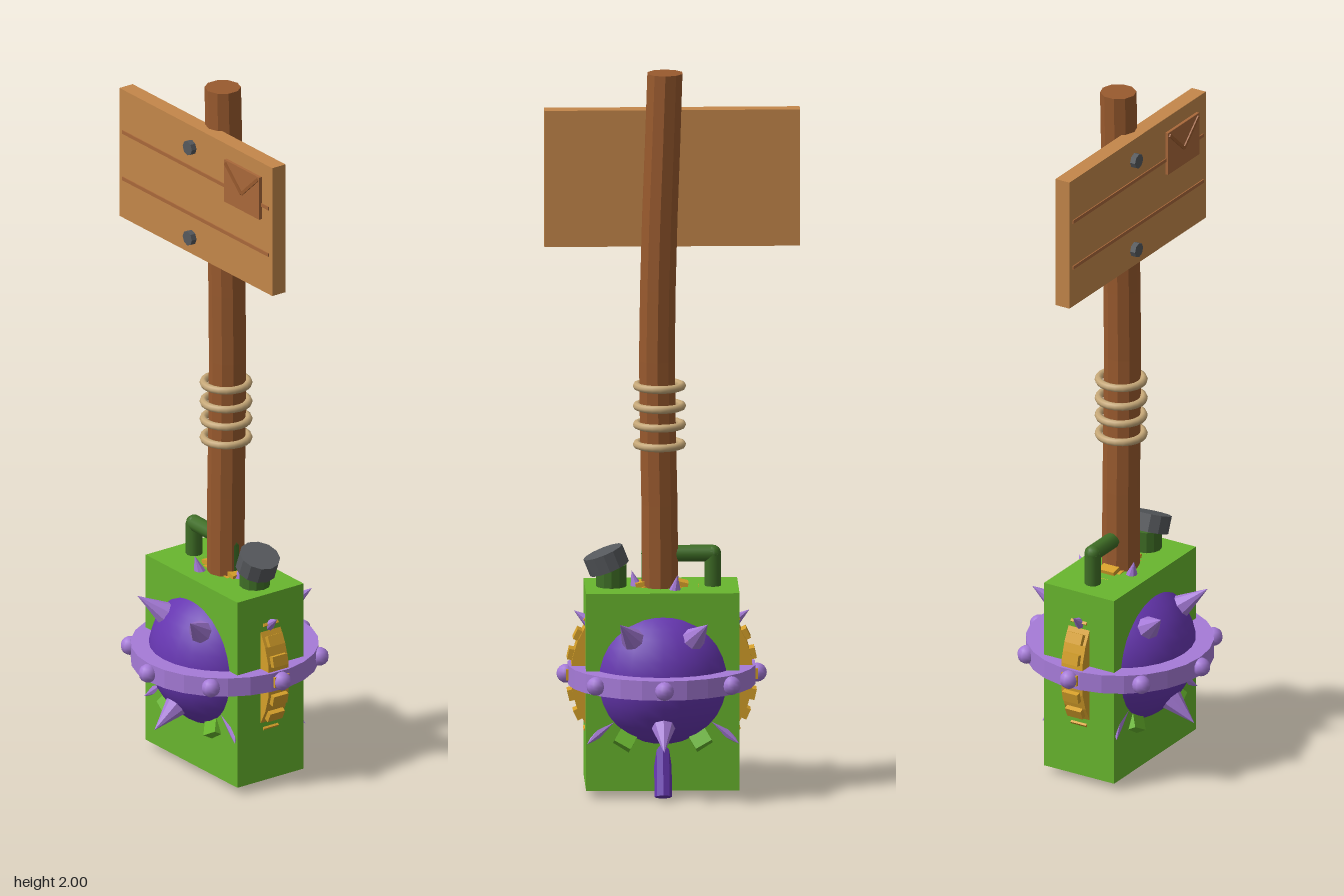
import * as THREE from 'three';

const mat = (name, color) => {
  const m = new THREE.MeshStandardMaterial({ color });
  m.name = name;
  return m;
};

export function createModel() {
  const green = mat('can green', 0x68b62e), darkGreen = mat('dark green', 0x3f6e26);
  const purple = mat('deep purple', 0x6636b0), lilac = mat('lilac', 0xa67bd8);
  const gold = mat('gold', 0xd6a02a), steel = mat('dark steel', 0x56595d);
  const wood = mat('post wood', 0x995a2e), board = mat('board wood', 0xc4874a);
  const brown = mat('panel brown', 0xa9683a), rope = mat('rope', 0xc6a878);

  const root = new THREE.Group();
  root.name = 'signpostMallet';
  const UP = new THREE.Vector3(0, 1, 0);
  const flat = (g) => {
    const f = g.index ? g.toNonIndexed() : g;
    f.computeVertexNormals();
    return f;
  };
  const add = (name, geo, material, x = 0, y = 0, z = 0, parent = root) => {
    const m = new THREE.Mesh(geo, material);
    m.name = name;
    m.position.set(x, y, z);
    parent.add(m);
    return m;
  };
  const box = (w, h, d) => new THREE.BoxGeometry(w, h, d);
  const cyl = (r1, r2, h, n) => flat(new THREE.CylinderGeometry(r1, r2, h, n));

  // Fuel can body with handle, spout and cap
  add('canBody', box(0.42, 0.55, 0.226), green, 0.03, 0.295, 0);
  const hr = 0.023;
  for (const x of [-0.11, 0.063]) {
    add('handlePost', new THREE.CylinderGeometry(hr, hr, 0.1, 10), darkGreen, x, 0.61, 0);
    add('handleCorner', new THREE.SphereGeometry(hr, 10, 8), darkGreen, x, 0.66, 0);
  }
  add('handleBar', new THREE.CylinderGeometry(hr, hr, 0.173, 10), darkGreen, -0.0235, 0.66, 0).rotation.z = Math.PI / 2;
  add('spout', cyl(0.042, 0.042, 0.07, 12), darkGreen, 0.168, 0.595, 0);
  add('spoutCap', cyl(0.057, 0.057, 0.05, 12), steel, 0.182, 0.642, 0).rotation.z = -0.38;

  // Spiked ball running through the can
  const ball = new THREE.Group();
  ball.name = 'spikedBall';
  ball.position.set(0.03, 0.327, 0);
  root.add(ball);
  add('ballCore', new THREE.SphereGeometry(0.21, 28, 20), purple, 0, 0, 0, ball);

  // Closed band: square profile turned around y
  const band = (inner, outer, half, n) => flat(new THREE.LatheGeometry([
    new THREE.Vector2(inner, -half), new THREE.Vector2(outer, -half),
    new THREE.Vector2(outer, half), new THREE.Vector2(inner, half), new THREE.Vector2(inner, -half),
  ], n));
  add('equatorBand', band(0.195, 0.258, 0.027, 26), lilac, 0, 0, 0, ball);
  for (let i = 0; i < 8; i++) {
    const a = i * Math.PI / 4;
    add('bandStud', new THREE.SphereGeometry(0.026, 10, 8), lilac,
      0.262 * Math.cos(a), 0, 0.262 * Math.sin(a), ball);
  }

  // Spikes in rows by elevation
  const spikeGeo = flat(new THREE.ConeGeometry(0.041, 0.115, 8));
  const spikeRow = (count, start, elevation) => {
    for (let i = 0; i < count; i++) {
      const a = start + i * 2 * Math.PI / count;
      const d = new THREE.Vector3(Math.cos(elevation) * Math.cos(a), Math.sin(elevation), Math.cos(elevation) * Math.sin(a));
      const s = add('spike', spikeGeo, lilac, 0, 0, 0, ball);
      s.position.copy(d).multiplyScalar(0.24);
      s.quaternion.setFromUnitVectors(UP, d);
    }
  };
  spikeRow(6, 0, 0.63);
  spikeRow(6, Math.PI / 6, -0.63);
  spikeRow(3, 0, 1.29);

  // Upright toothed gold band
  const track = new THREE.Group();
  track.name = 'toothedBand';
  track.rotation.x = Math.PI / 2;
  ball.add(track);
  add('goldBand', band(0.2, 0.25, 0.034, 32), gold, 0, 0, 0, track);
  for (let i = 0; i < 28; i++) {
    const a = i * Math.PI / 14;
    add('bandTooth', box(0.024, 0.05, 0.03), gold, 0.251 * Math.cos(a), 0, 0.251 * Math.sin(a), track).rotation.y = -a;
  }

  // Slanted legs and small blocks under the ball
  for (let i = 0; i < 3; i++) {
    const a = -Math.PI / 2 + i * 2 * Math.PI / 3;
    const d = new THREE.Vector3(0.37 * Math.cos(a), -0.93, 0.37 * Math.sin(a)).normalize();
    const leg = add('leg', cyl(0.024, 0.024, 0.2, 8), purple, 0.108 * Math.cos(a), -0.225, 0.108 * Math.sin(a), ball);
    leg.quaternion.setFromUnitVectors(UP, d);
  }
  for (let i = 0; i < 4; i++) {
    const a = Math.PI / 4 + i * Math.PI / 2;
    const d = new THREE.Vector3(0.67 * Math.cos(a), -0.74, 0.67 * Math.sin(a)).normalize();
    const b = add('ballBlock', box(0.05, 0.06, 0.05), green, 0.142 * Math.cos(a), -0.163, 0.142 * Math.sin(a), ball);
    b.quaternion.setFromUnitVectors(UP, d);
  }

  // Slightly bent wooden post
  const bend = new THREE.SplineCurve([[0.034, 0.4], [0.036, 0.8], [0.043, 1.2], [0.035, 1.6], [0.021, 2]]
    .map(([x, y]) => new THREE.Vector2(x, y)));
  const postGeo = new THREE.CylinderGeometry(0.05, 0.052, 1.6, 10, 8);
  const p = postGeo.attributes.position;
  for (let i = 0; i < p.count; i++) {
    const t = THREE.MathUtils.clamp(p.getY(i) / 1.6 + 0.5, 0, 1);
    p.setX(i, p.getX(i) + bend.getPoint(t).x);
  }
  add('post', flat(postGeo), wood, 0, 1.2, 0);

  // Rope windings
  for (const y of [0.965, 1.02, 1.072, 1.128]) {
    add('ropeRing', new THREE.TorusGeometry(0.062, 0.011, 8, 20), rope, 0.036, y, 0).rotation.x = Math.PI / 2;
  }

  // Sign board with plank seams and bolts
  add('signBoard', box(0.7, 0.38, 0.045), board, 0, 1.7, 0.0535);
  for (const y of [1.765, 1.627]) add('plankSeam', box(0.67, 0.01, 0.006), brown, 0, y, 0.076);
  for (const y of [1.828, 1.56]) add('bolt', cyl(0.021, 0.021, 0.022, 8), steel, -0.018, y, 0.081).rotation.x = Math.PI / 2;

  // Envelope plaque with a folded flap line
  add('envelope', box(0.16, 0.125, 0.009), brown, 0.222, 1.785, 0.0805);
  for (const s of [-1, 1]) {
    add('flapLine', box(0.1, 0.009, 0.006), wood, 0.222 + s * 0.037, 1.806, 0.086).rotation.z = s * 0.74;
  }
  return root;
}
